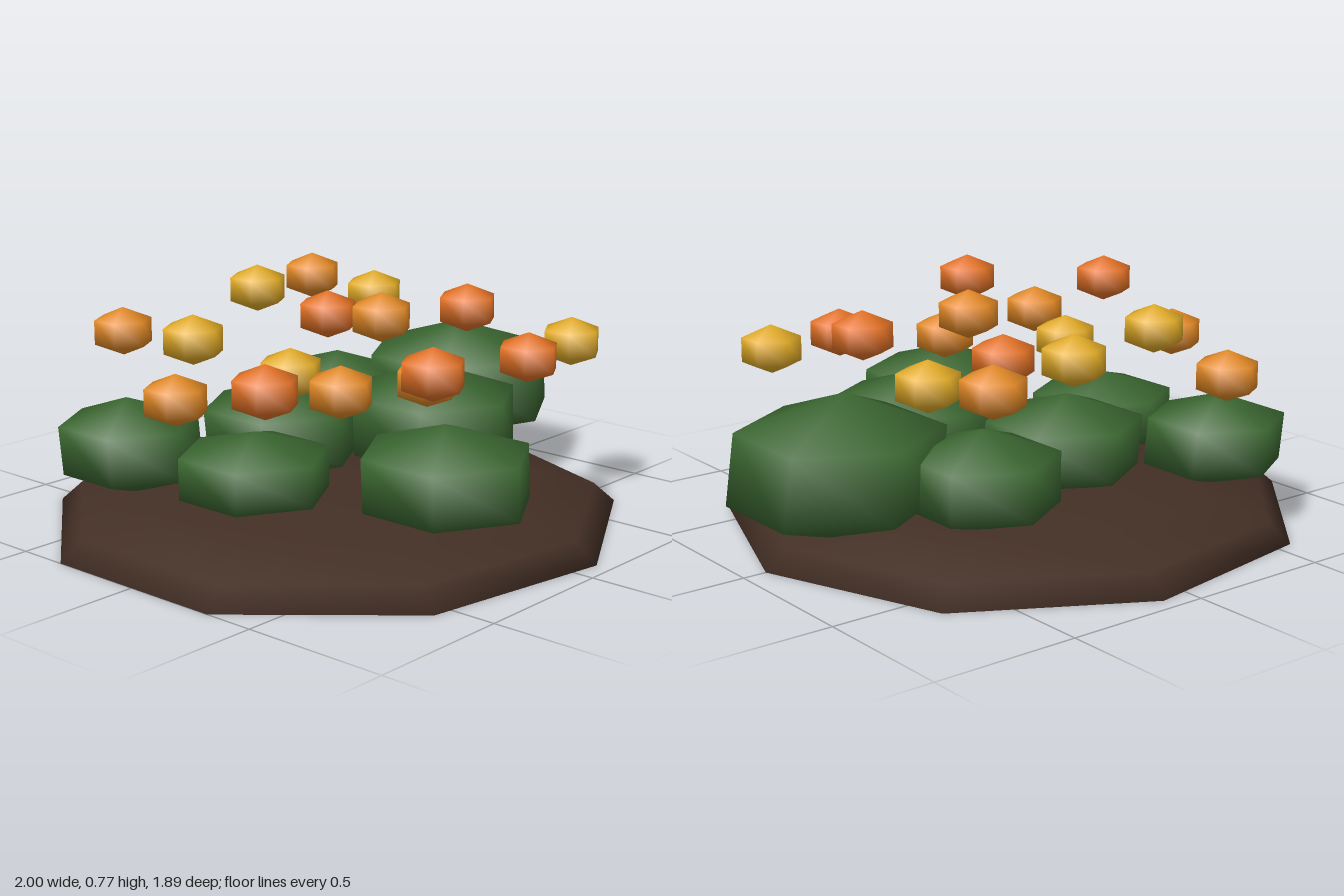
import * as THREE from 'three';

const mat = (name, color) => {
  const m = new THREE.MeshStandardMaterial({ color });
  m.name = name;
  return m;
};

export function createModel() {
  const group = new THREE.Group();
  group.name = 'flowerBed';

  const soil = mat('soil brown', 0x432f25);
  const leaf = mat('leaf green', 0x3b6631);
  const petals = {
    deep: mat('deep orange', 0xe57327),
    mid: mat('light orange', 0xe48a26),
    gold: mat('golden yellow', 0xe3ac27),
  };

  const add = (name, geometry, material, parent = group) => {
    const mesh = new THREE.Mesh(geometry, material);
    mesh.name = name;
    parent.add(mesh);
    return mesh;
  };

  // Six-sided, three-band blob; ringR is the widest ring, with corners along z
  const blob = (ringR, halfHeight) =>
    new THREE.SphereGeometry(1, 6, 3)
      .rotateY(Math.PI / 2)
      .scale(ringR / 0.866, halfHeight, ringR / 0.866);

  // Soil mound: nine-sided flattened dome with a flat underside
  const mound = new THREE.Group();
  mound.name = 'mound';
  mound.position.x = -0.07;
  group.add(mound);
  add('moundTop', new THREE.SphereGeometry(1, 9, 4, 0, Math.PI * 2, 0, Math.PI / 2)
    .rotateY(Math.PI).scale(0.99, 0.175, 0.96), soil, mound);
  add('moundBase', new THREE.CircleGeometry(1, 9)
    .rotateX(Math.PI / 2).scale(0.99, 1, 0.96), soil, mound);

  // Leaf clumps: x, z, ring radius, bottom, top, lean in x, lean in z
  const clumps = [
    [0.69, -0.07, 0.335, 0.10, 0.55, -0.2, 0.08],
    [-0.2, 0.58, 0.28, 0.11, 0.455, 0, -0.05],
    [0.22, 0.19, 0.29, 0.115, 0.505, 0.03, -0.06],
    [-0.12, -0.2, 0.265, 0.11, 0.45, -0.06, -0.06],
    [0.34, -0.36, 0.25, 0.12, 0.445, -0.04, 0.05],
    [-0.575, -0.455, 0.235, 0.11, 0.433, -0.03, -0.08],
    [-0.52, 0.06, 0.247, 0.13, 0.405, -0.05, 0.04],
  ];
  for (const [x, z, r, bottom, top, leanX, leanZ] of clumps) {
    const lean = new THREE.Matrix4().set(
      1, leanX, 0, 0,
      0, 1, 0, 0,
      0, leanZ, 1, 0,
      0, 0, 0, 1);
    const clump = add('leafClump', blob(r, (top - bottom) / 2).applyMatrix4(lean), leaf);
    clump.position.set(x, (top + bottom) / 2, z);
  }

  // Blossoms hovering above the leaves: x, y, z for each colour
  const blossoms = {
    deep: [
      [0.17, 0.62, -0.25], [0.43, 0.66, 0.16], [-0.82, 0.65, 0.4],
      [-0.385, 0.665, 0.67], [0.27, 0.575, 0.54],
    ],
    mid: [
      [-0.36, 0.58, -0.72], [0.515, 0.655, -0.64], [-0.76, 0.535, -0.04],
      [0.035, 0.685, 0.11], [-0.48, 0.58, 0.39], [-0.085, 0.54, 0.405],
    ],
    gold: [
      [0.14, 0.675, -0.56], [-0.455, 0.635, -0.275], [0.55, 0.62, -0.365],
      [-0.34, 0.555, 0.05], [0.57, 0.57, 0.5],
    ],
  };
  const blossomGeometry = blob(0.1, 0.084);
  for (const [colour, spots] of Object.entries(blossoms)) {
    for (const spot of spots) add('blossom', blossomGeometry, petals[colour]).position.set(...spot);
  }

  return group;
}
